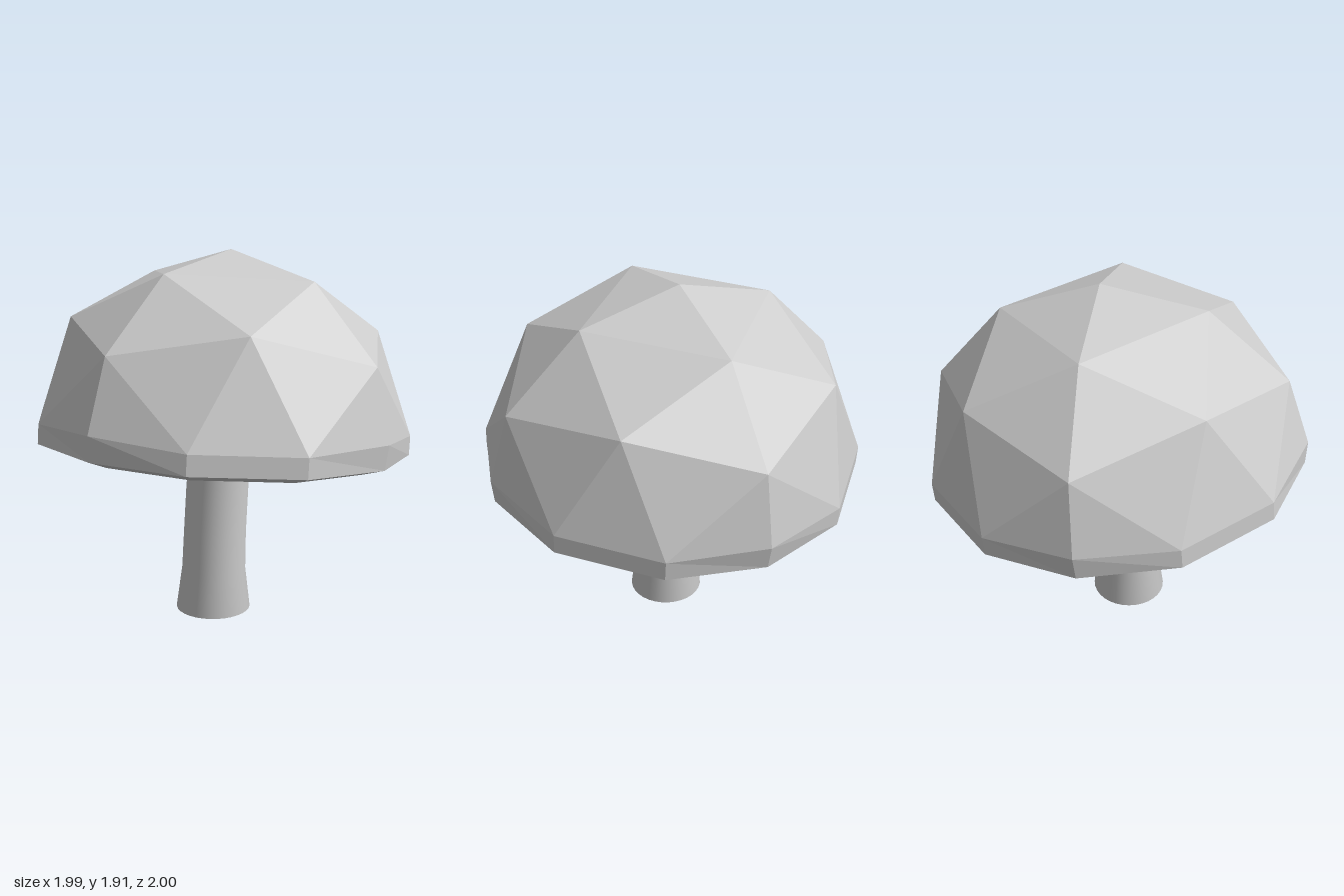
import * as THREE from 'three';

// Point [x, y, z] from radius, height and angle
const polar = (r, y, a) => [r * Math.cos(a), y, r * Math.sin(a)];

// Twelve-sided ring angle, with in-between points drawn slightly to the axes
const ringAngle = (i) => (i * Math.PI) / 6 + [0, -0.02, 0.02][i % 3];

// Dome rings: ring n holds 4n points, as on a subdivided octahedron
function domePoint(ring, i) {
  if (ring === 0) return [0, 1.03, 0];
  if (ring === 1) return polar(0.521, 0.893, (i * Math.PI) / 2);
  if (ring === 2) {
    const a = (i * Math.PI) / 4;
    return i % 2 ? polar(0.808, 0.647, a) : polar(0.904, 0.515, a);
  }
  return i % 3 ? polar(0.985, 0.13, ringAngle(i)) : polar(1, 0.155, ringAngle(i));
}

function capGeometry() {
  const pos = [];
  const tri = (a, b, c) => pos.push(...a, ...b, ...c);

  // Faceted dome, one quadrant at a time
  for (let q = 0; q < 4; q++) {
    for (let n = 1; n <= 3; n++) {
      const upper = (j) => domePoint(n - 1, q * (n - 1) + j);
      const lower = (j) => domePoint(n, q * n + j);
      for (let j = 0; j < n; j++) {
        tri(upper(j), lower(j + 1), lower(j));
        if (j < n - 1) tri(upper(j), upper(j + 1), lower(j + 1));
      }
    }
  }

  // Rim, lip and hollow underside as twelve-sided bands [radius, height]
  const profile = [[0.986, 0.03], [0.865, -0.01], [0.755, -0.008], [0.365, 0.155], [0, 0.145]];
  const bands = [
    (i) => domePoint(3, i),
    ...profile.map(([r, y]) => (i) => polar(r, y, ringAngle(i))),
  ];
  for (let k = 0; k < bands.length - 1; k++) {
    for (let i = 0; i < 12; i++) {
      const a = bands[k](i), b = bands[k](i + 1);
      const c = bands[k + 1](i), d = bands[k + 1](i + 1);
      tri(a, b, c);
      if (k < bands.length - 2) tri(b, d, c);
    }
  }

  const geo = new THREE.BufferGeometry();
  geo.setAttribute('position', new THREE.Float32BufferAttribute(pos, 3));
  geo.computeVertexNormals();
  return geo;
}

// Round stem that flares at the foot and leans gently to one side
function stemGeometry() {
  const levels = [ // height, centre x, radius
    [0, -0.083, 0.199], [0.22, -0.078, 0.171], [0.42, -0.067, 0.167],
    [0.65, -0.047, 0.166], [0.88, -0.021, 0.165], [1.06, 0, 0.164],
  ];
  const last = levels.length - 1;
  const geo = new THREE.CylinderGeometry(1, 1, last, 32, last);
  geo.translate(0, last / 2, 0);
  const p = geo.attributes.position;
  for (let i = 0; i < p.count; i++) {
    const [y, cx, r] = levels[Math.round(p.getY(i))];
    p.setXYZ(i, cx + p.getX(i) * r, y, p.getZ(i) * r);
  }
  return geo;
}

export function createModel() {
  const model = new THREE.Group();
  model.name = 'mushroom';

  const cap = new THREE.Mesh(
    capGeometry(),
    new THREE.MeshStandardMaterial({ color: 0xcccccc, flatShading: true })
  );
  cap.name = 'cap';
  cap.position.set(-0.016, 0.884, 0);
  cap.rotation.z = -0.087;

  const stem = new THREE.Mesh(
    stemGeometry(),
    new THREE.MeshStandardMaterial({ color: 0xcccccc })
  );
  stem.name = 'stem';

  model.add(cap, stem);
  return model;
}
